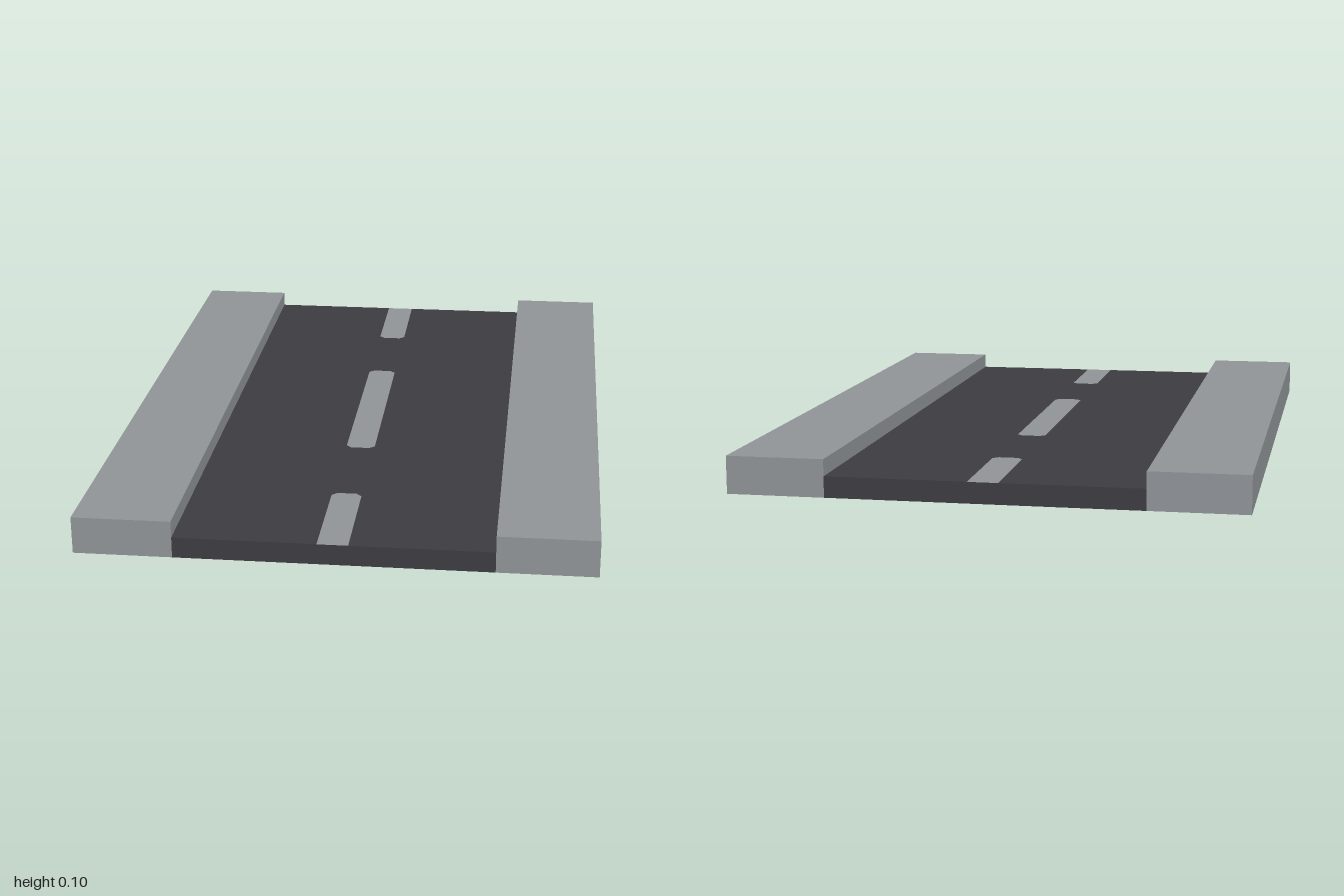
import * as THREE from 'three';

const HALF_W = 0.7, ROAD_W = 0.43, ROAD_Y = 0.058, CURB_H = 0.104;
const DASH = 0.042, CUT = 0.015, THIRD = 1 / 3;

export function createModel() {
  const model = new THREE.Group();
  model.name = 'roadSection';

  const kerbGrey = new THREE.MeshStandardMaterial({ color: 0x8f9397, side: THREE.DoubleSide });
  kerbGrey.name = 'pavement grey';
  const asphalt = new THREE.MeshStandardMaterial({ color: 0x3c3b40, side: THREE.DoubleSide });
  asphalt.name = 'dark asphalt';

  const add = (name, geometry, material) => {
    const mesh = new THREE.Mesh(geometry, material);
    mesh.name = name;
    model.add(mesh);
    return mesh;
  };
  const points = (list) => list.map(([x, y]) => new THREE.Vector2(x, y));
  // Flat sheet lying at road height
  const sheet = (shape) => new THREE.ShapeGeometry(shape).rotateX(-Math.PI / 2).translate(0, ROAD_Y, 0);

  // Lane markings with clipped corners: a whole one in the middle, half ones at the ends
  const tip = (end, s) => [[-DASH, s * (end - CUT)], [-DASH + CUT, s * end], [DASH - CUT, s * end], [DASH, s * (end - CUT)]];
  const middle = points([...tip(THIRD, 1), ...tip(THIRD, -1).reverse()]);
  const endDash = (s) => [
    [-DASH, s], [-DASH, s * (2 * THIRD + CUT)], [-DASH + CUT, s * 2 * THIRD],
    [DASH - CUT, s * 2 * THIRD], [DASH, s * (2 * THIRD + CUT)], [DASH, s],
  ];
  add('middleMarking', sheet(new THREE.Shape(middle)), kerbGrey);
  add('backMarking', sheet(new THREE.Shape(points(endDash(1)))), kerbGrey);
  add('frontMarking', sheet(new THREE.Shape(points(endDash(-1)))), kerbGrey);

  // Road surface, cut out around the markings
  const road = new THREE.Shape(points([
    [-ROAD_W, 1], ...endDash(1), [ROAD_W, 1],
    [ROAD_W, -1], ...endDash(-1).reverse(), [-ROAD_W, -1],
  ]));
  road.holes.push(new THREE.Path(middle));
  add('roadSurface', sheet(road), asphalt);

  // End faces of the road, open underneath
  for (const s of [1, -1]) {
    const end = add(s > 0 ? 'roadFrontEdge' : 'roadBackEdge', new THREE.PlaneGeometry(2 * ROAD_W, ROAD_Y), asphalt);
    end.position.set(0, ROAD_Y / 2, s);
    if (s < 0) end.rotation.y = Math.PI;
  }

  // Raised pavements with dark undersides; the right one has a grey middle panel below
  for (const s of [1, -1]) {
    const geometry = new THREE.BoxGeometry(HALF_W - ROAD_W, CURB_H, 2, 1, 1, 3);
    const bottom = geometry.groups[3].start;
    const total = geometry.index.count;
    geometry.clearGroups();
    geometry.addGroup(0, bottom, 0);
    geometry.addGroup(bottom, 6, 1);
    geometry.addGroup(bottom + 6, 6, s > 0 ? 1 : 0);
    geometry.addGroup(bottom + 12, 6, 1);
    geometry.addGroup(bottom + 18, total - bottom - 18, 0);
    const curb = add(s > 0 ? 'leftPavement' : 'rightPavement', geometry, [kerbGrey, asphalt]);
    curb.position.set(s * (HALF_W + ROAD_W) / 2, CURB_H / 2, 0);
  }

  return model;
}
